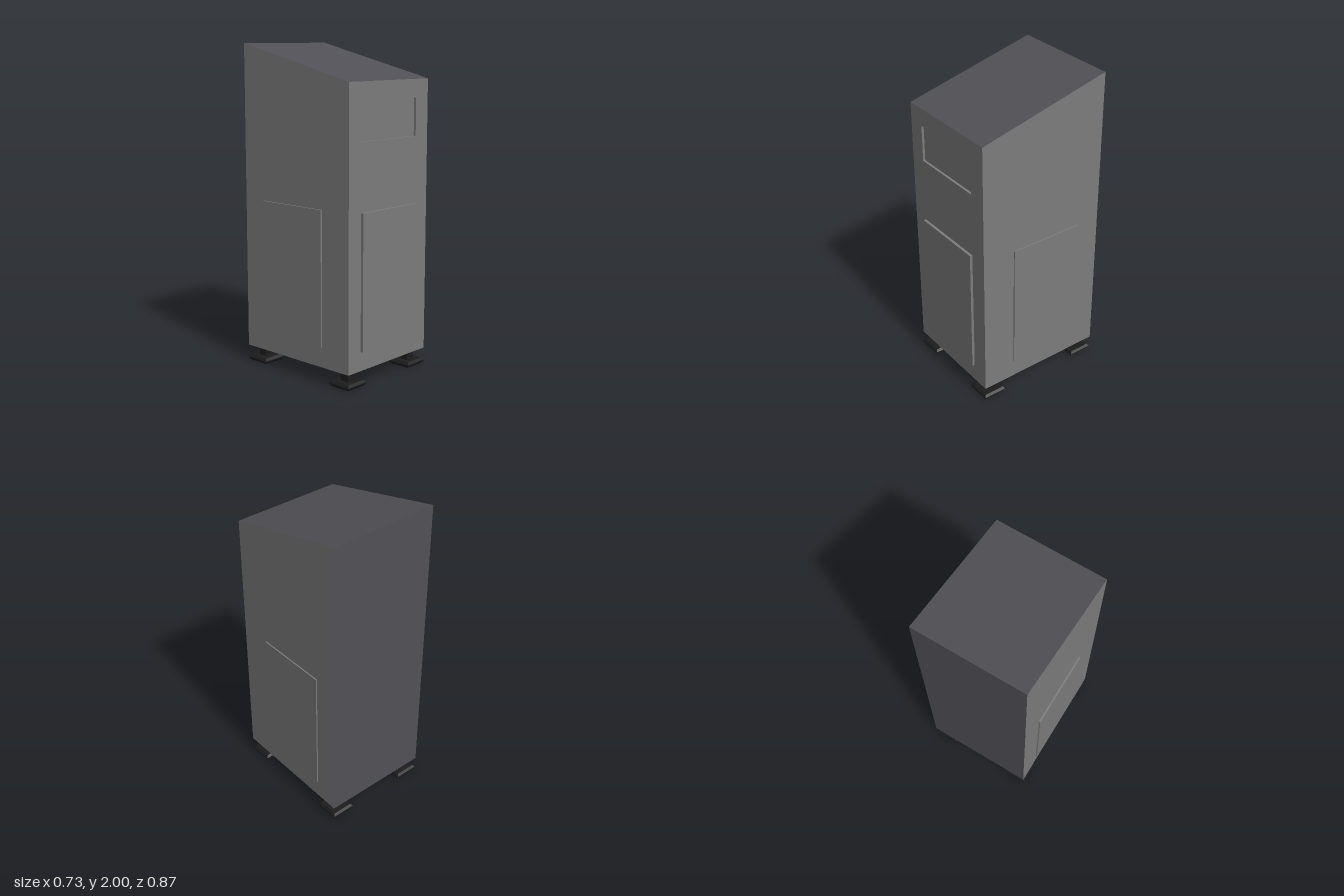
import * as THREE from 'three';

const grey = new THREE.MeshStandardMaterial({ color: 0x7c7c7c });
const slate = new THREE.MeshStandardMaterial({ color: 0x505056 });
const black = new THREE.MeshStandardMaterial({ color: 0x1c1c1c });

// Cabinet limits
const X = 0.355, Z0 = -0.437, Z1 = 0.42, Y0 = 0.1, Y_FRONT = 1.79, Y_BACK = 2;

function add(parent, name, geometry, material, x = 0, y = 0, z = 0) {
  const mesh = new THREE.Mesh(geometry, material);
  mesh.name = name;
  mesh.position.set(x, y, z);
  parent.add(mesh);
  return mesh;
}

// Flat four-cornered face, corners counter-clockwise seen from outside
function quad(a, b, c, d) {
  const g = new THREE.BufferGeometry();
  g.setAttribute('position', new THREE.Float32BufferAttribute([...a, ...b, ...c, ...d], 3));
  g.setIndex([0, 1, 2, 0, 2, 3]);
  g.computeVertexNormals();
  return g;
}

function rectPoints(x0, y0, x1, y1) {
  return [[x0, y0], [x1, y0], [x1, y1], [x0, y1]].map(p => new THREE.Vector2(...p));
}

export function createModel() {
  const model = new THREE.Group();
  model.name = 'kiosk';

  // Cabinet shell with a sloping top
  const cabinet = new THREE.Group();
  cabinet.name = 'cabinet';
  model.add(cabinet);
  add(cabinet, 'leftSide', quad([X, Y0, Z1], [X, Y0, Z0], [X, Y_BACK, Z0], [X, Y_FRONT, Z1]), grey);
  add(cabinet, 'rightSide', quad([-X, Y0, Z0], [-X, Y0, Z1], [-X, Y_FRONT, Z1], [-X, Y_BACK, Z0]), grey);
  add(cabinet, 'slopedTop', quad([-X, Y_FRONT, Z1], [X, Y_FRONT, Z1], [X, Y_BACK, Z0], [-X, Y_BACK, Z0]), slate);
  add(cabinet, 'back', quad([X, Y0, Z0], [-X, Y0, Z0], [-X, Y_BACK, Z0], [X, Y_BACK, Z0]), slate);
  add(cabinet, 'underside', quad([-X, Y0, Z0], [X, Y0, Z0], [X, Y0, Z1], [-X, Y0, Z1]), slate);

  // Front face with a shallow rectangular recess
  const opening = rectPoints(-0.248, 1.45, 0.243, 1.68);
  const front = new THREE.Shape(rectPoints(-X, Y0, X, Y_FRONT));
  front.holes.push(new THREE.Path(opening));
  add(cabinet, 'front', new THREE.ShapeGeometry(front), grey, 0, 0, Z1);
  const inner = Z1 - 0.015;
  opening.forEach((p, i) => {
    const q = opening[(i + 1) % 4];
    add(cabinet, 'recessWall', quad([p.x, p.y, Z1], [q.x, q.y, Z1], [q.x, q.y, inner], [p.x, p.y, inner]), grey);
  });
  add(cabinet, 'recessPanel', new THREE.ShapeGeometry(new THREE.Shape(opening)), grey, 0, 0, inner);

  // Raised access doors on the front and both sides
  add(model, 'frontDoor', new THREE.BoxGeometry(0.49, 0.825, 0.03), grey, -0.004, 0.63, 0.422);
  add(model, 'leftDoor', new THREE.BoxGeometry(0.03, 0.825, 0.485), grey, 0.348, 0.632, -0.038);
  add(model, 'rightDoor', new THREE.BoxGeometry(0.03, 0.825, 0.485), grey, -0.35, 0.638, -0.032);

  // Four feet: square stem on a bevelled square pad
  const k = Math.SQRT2;
  const padProfile = [[0, 0], [0.066, 0], [0.078, 0.013], [0.078, 0.021], [0.066, 0.035], [0, 0.035]]
    .map(([r, y]) => new THREE.Vector2(r * k, y));
  const lathe = new THREE.LatheGeometry(padProfile, 4, Math.PI / 4).toNonIndexed();
  lathe.computeVertexNormals();
  for (const x of [-0.277, 0.275]) {
    for (const z of [-0.358, 0.343]) {
      const foot = new THREE.Group();
      foot.name = 'foot';
      foot.position.set(x, 0, z);
      add(foot, 'footPad', lathe, black);
      add(foot, 'footStem', new THREE.BoxGeometry(0.06, 0.08, 0.06), black, 0, 0.065, 0);
      model.add(foot);
    }
  }
  return model;
}
